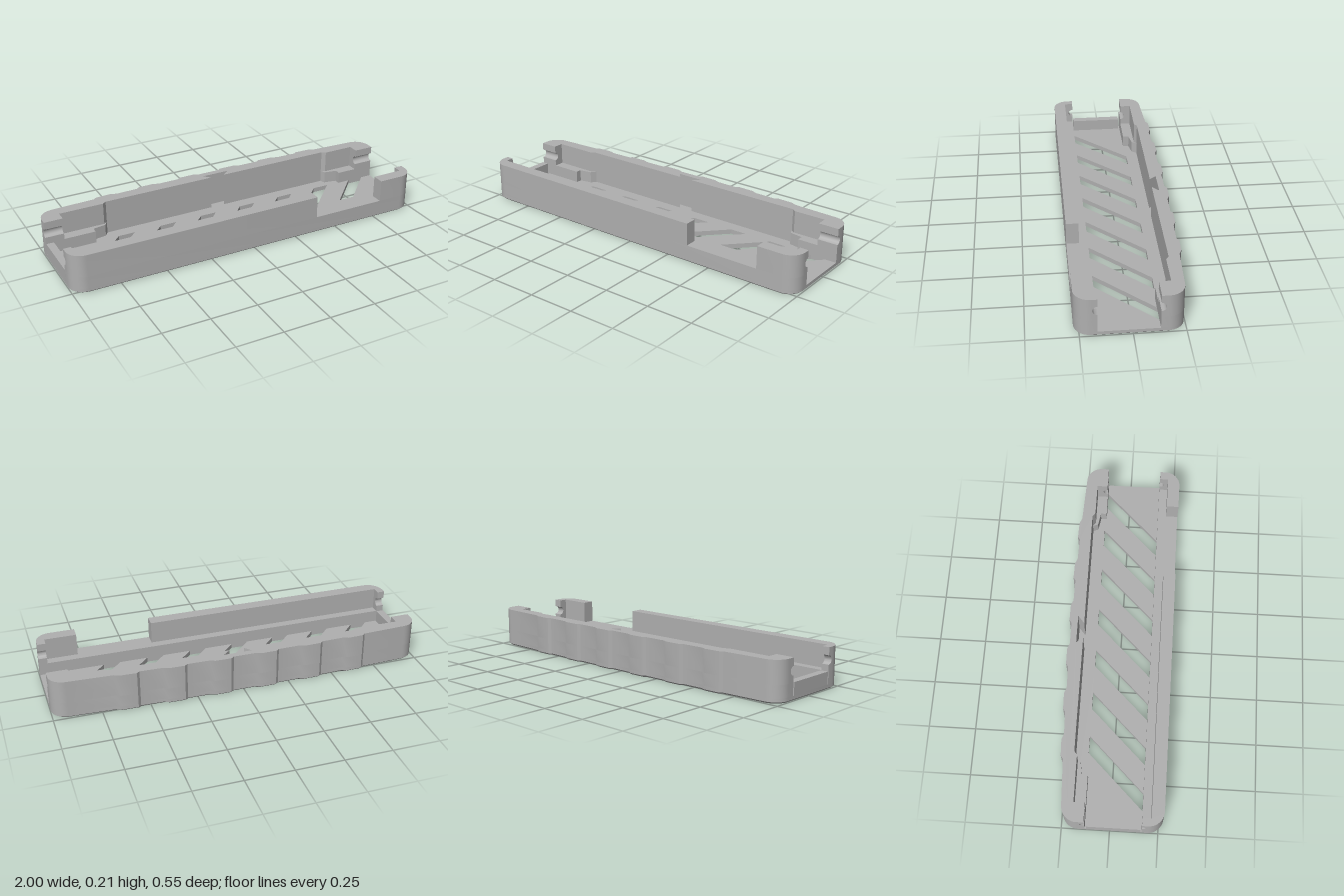
import * as THREE from 'three';
import { toCreasedNormals } from 'three/addons/utils/BufferGeometryUtils.js';

const FLOOR = 0.025, LEDGE = 0.09, TOP = 0.21, R = 0.08;
const FRONT = 0.275, BACK = -0.245;

const arc = (cx, cz, a0, a1, r = R, n = 10) =>
  Array.from({ length: n + 1 }, (_, i) => {
    const a = a0 + (a1 - a0) * i / n;
    return [cx + r * Math.cos(a), cz + r * Math.sin(a)];
  });
const toShape = pts => new THREE.Shape(pts.map(p => new THREE.Vector2(p[0], p[1])));

// Bowed back edge with raised grip ridges, from the -x corner to the +x corner
function backEdge() {
  const base = x => -0.268 + 0.023 * (x / 0.92) ** 2;
  const pts = arc(-1 + R, BACK + R, Math.PI, Math.PI * 1.5);
  for (let i = 0; i < 6; i++) {
    const c = (i - 2.5) * 0.247;
    for (const [dx, out] of [[-0.065, 0], [-0.05, 0.012], [0.035, 0.012], [0.065, 0]]) {
      pts.push([c + dx, base(c + dx) - out]);
    }
  }
  return pts.concat(arc(1 - R, BACK + R, Math.PI * 1.5, Math.PI * 2));
}

// Extrude an (x, z) plan between two heights
function slab(shape, y0, y1) {
  const g = new THREE.ExtrudeGeometry(shape, { depth: y1 - y0, bevelEnabled: false });
  g.rotateX(Math.PI / 2);
  g.translate(0, y1, 0);
  return g;
}

export function createModel() {
  const model = new THREE.Group();
  model.name = 'slottedTray';
  const grey = new THREE.MeshStandardMaterial({ color: 0xb0b0b0 });
  grey.name = 'grey plastic';
  const add = (name, geometry) => {
    const mesh = new THREE.Mesh(toCreasedNormals(geometry, 0.4), grey);
    mesh.name = name;
    model.add(mesh);
  };

  const back = backEdge();
  const frontRight = arc(1 - R, FRONT - R, 0, Math.PI / 2);
  const frontLeft = arc(-1 + R, FRONT - R, Math.PI / 2, Math.PI);

  // Floor with seven slanted slots and a chamfered underside
  const plan = toShape([...back, ...frontRight, ...frontLeft]);
  for (let i = 0; i < 7; i++) {
    const x = -0.893 + i * 0.243;
    plan.holes.push(toShape([[x, 0.165], [x + 0.092, 0.165], [x + 0.383, -0.135], [x + 0.291, -0.135]]));
  }
  add('floor', slab(plan, 0.008, FLOOR));
  const chamfer = slab(plan, 0, 0.008);
  const p = chamfer.attributes.position;
  for (let i = 0; i < p.count; i++) {
    const onRim = Math.abs(p.getZ(i)) > 0.17 || Math.abs(p.getX(i)) > 0.98;
    if (p.getY(i) < 0.004 && onRim) p.setXYZ(i, p.getX(i) * 0.992, p.getY(i), p.getZ(i) * 0.97);
  }
  add('floorChamfer', chamfer);

  // Back wall: lower half with ledges, upper half with end posts, dovetail groove in both
  const dovetail = [[0.06, -0.2], [0.1, -0.235], [-0.05, -0.235], [-0.02, -0.2]];
  add('backWallLower', slab(toShape([...back,
    [1, -0.128], [0.78, -0.128], [0.78, -0.16], [0.71, -0.172], [0.7, -0.2],
    ...dovetail,
    [-0.64, -0.2], [-0.66, -0.172], [-0.73, -0.16], [-0.73, -0.128], [-1, -0.128],
  ]), FLOOR, LEDGE));
  add('backWallUpper', slab(toShape([...back,
    [1, -0.152], [0.89, -0.152], [0.89, -0.185], [0.72, -0.185], [0.7, -0.2],
    ...dovetail,
    [-0.64, -0.2], [-0.66, -0.185], [-0.9, -0.185], [-0.9, -0.152], [-1, -0.152],
  ]), LEDGE, TOP));

  // Front wall: full lower half, upper half interrupted by the cutout
  add('frontWallLower', slab(toShape([[-1, 0.165], [1, 0.165], ...frontRight, ...frontLeft]), FLOOR, LEDGE));
  add('frontWallUpperLong', slab(toShape([
    [-1, 0.19], [-0.96, 0.19], [-0.96, 0.21], [0.375, 0.21], [0.375, FRONT], ...frontLeft,
  ]), LEDGE, TOP));
  add('frontWallUpperShort', slab(toShape([
    [0.785, 0.21], [0.955, 0.21], [0.955, 0.19], [1, 0.19], ...frontRight, [0.785, FRONT],
  ]), LEDGE, TOP));

  // Post faces with half-round snap grooves beside the end openings
  const post = (name, x0, x1, zOpen, side) => {
    const depth = 0.025;
    const outline = [[0, LEDGE], [depth, LEDGE], [depth, TOP], [0, TOP],
      ...arc(0, 0.146, Math.PI / 2, -Math.PI / 2, 0.0235, 12)];
    const pts = outline.map(([d, y]) => [-(zOpen + side * d), y]);
    const g = new THREE.ExtrudeGeometry(toShape(pts), { depth: x1 - x0, bevelEnabled: false });
    g.rotateY(Math.PI / 2);
    g.translate(x0, 0, 0);
    add(name, g);
  };
  post('frontPostRight', -1, -0.96, 0.165, 1);
  post('frontPostLeft', 0.955, 1, 0.165, 1);
  post('backPostRight', -1, -0.9, -0.128, -1);
  post('backPostLeft', 0.89, 1, -0.128, -1);

  // Low lip closing the -x end
  const lip = new THREE.BoxGeometry(0.04, LEDGE - FLOOR, 0.28);
  lip.translate(-0.98, (FLOOR + LEDGE) / 2, 0.02);
  add('endLip', lip);

  return model;
}
